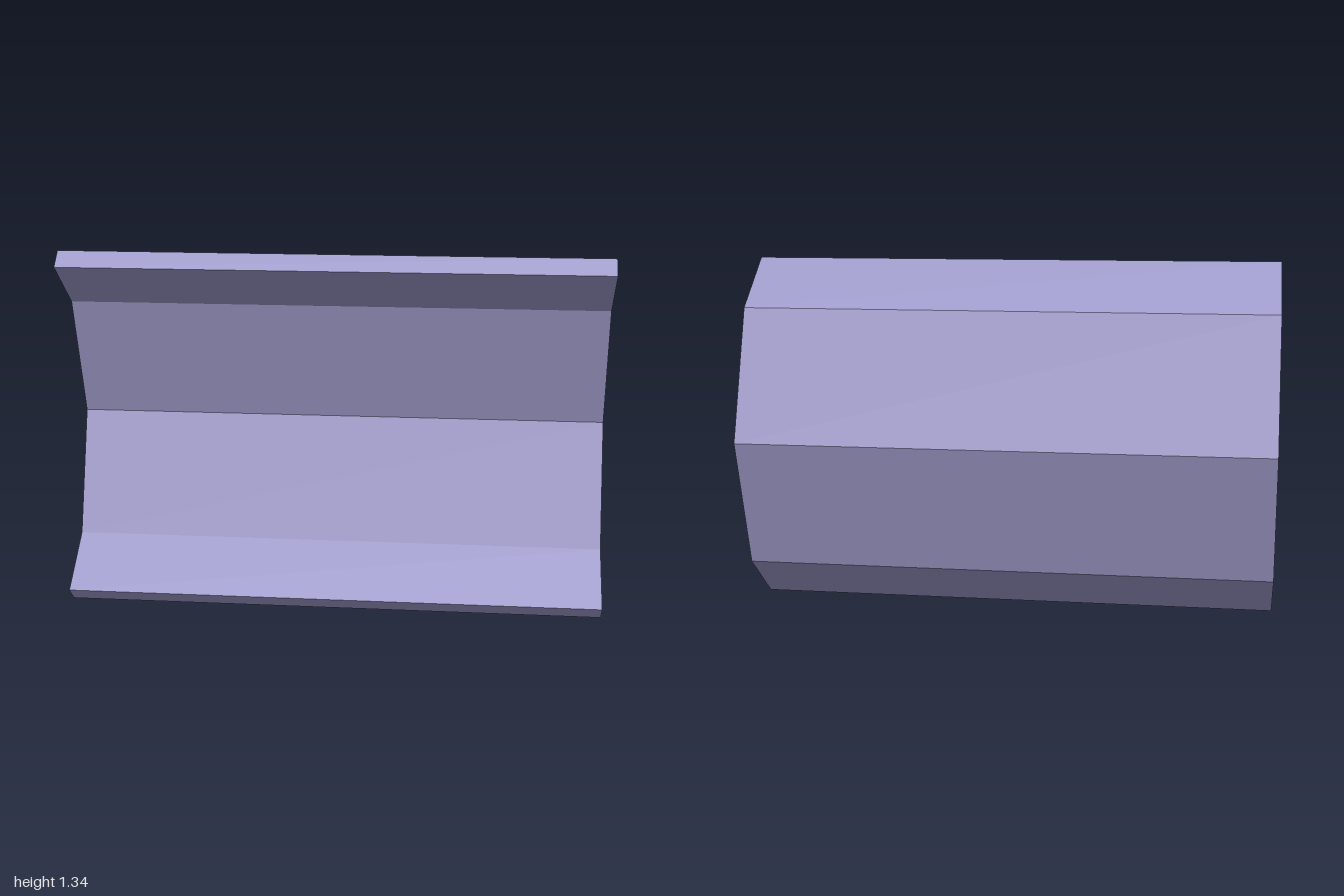
import * as THREE from 'three';

export function createModel() {
  const group = new THREE.Group();
  const height = 1.34, length = 2;

  // Lower half of the bent cross-section as [z, y]
  const outer = [[0.168, 0], [-0.06, 0.177]];
  const inner = [[0.224, 0.053], [0.015, 0.214]];
  const mirror = (pts) => pts.map(([z, y]) => [z, height - y]).reverse();

  const outline = [
    ...outer, [-0.224, height / 2], ...mirror(outer),
    ...mirror(inner).reverse(), [-0.136, height / 2], ...inner.slice().reverse(),
  ];
  const profile = new THREE.Shape(outline.map(([z, y]) => new THREE.Vector2(z, y)));

  // Sweep the cross-section along x
  const geometry = new THREE.ExtrudeGeometry(profile, { depth: length, bevelEnabled: false });
  geometry.translate(0, 0, -length / 2);
  geometry.rotateY(-Math.PI / 2);

  const panel = new THREE.Mesh(
    geometry,
    new THREE.MeshStandardMaterial({ color: 0x9c98c8, flatShading: true })
  );
  panel.name = 'bentPanel';
  group.add(panel);
  return group;
}
